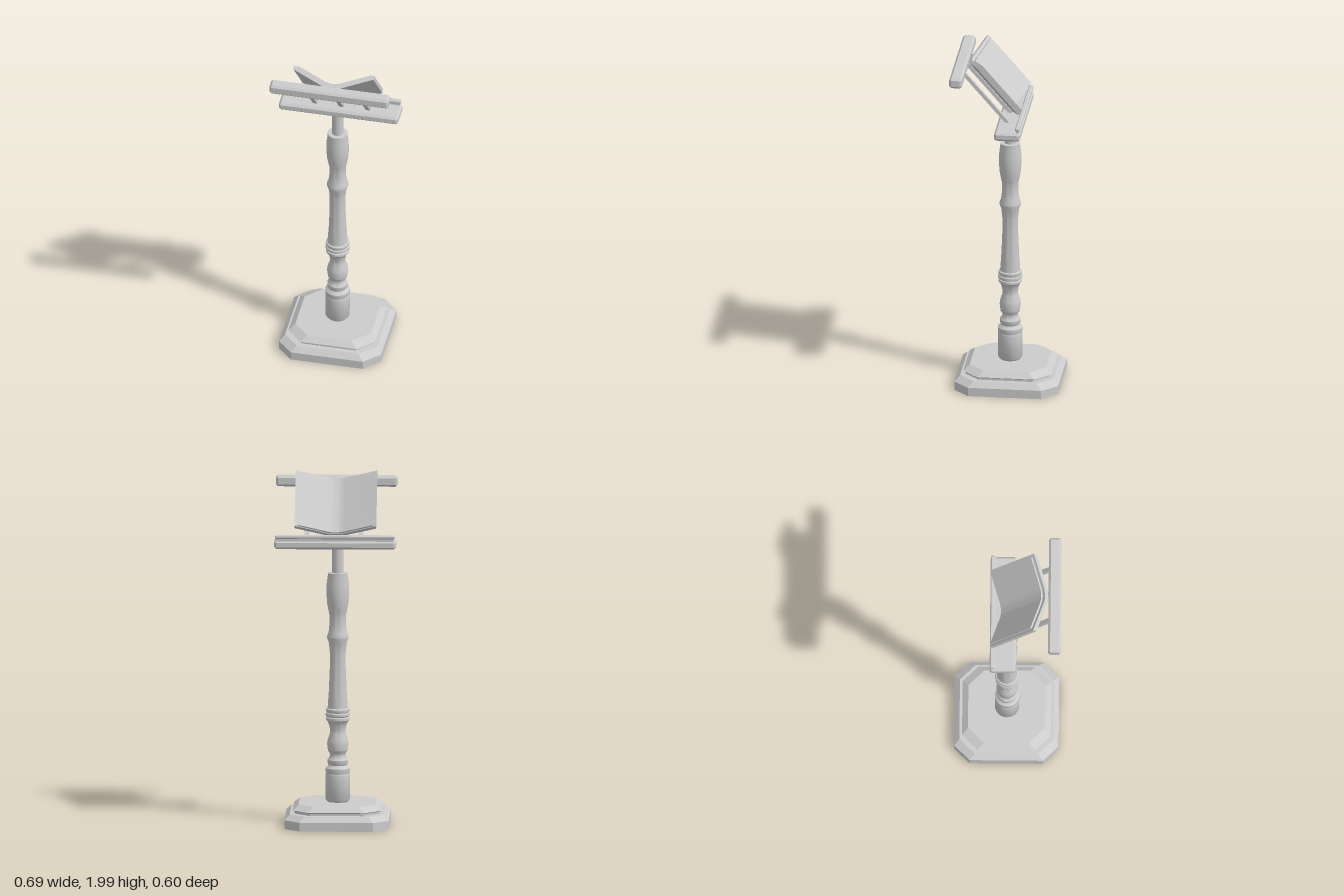
import * as THREE from 'three';
import { toCreasedNormals } from 'three/addons/utils/BufferGeometryUtils.js';
import { ConvexGeometry } from 'three/addons/geometries/ConvexGeometry.js';

const material = new THREE.MeshStandardMaterial({ color: 0xcccccc });
const shellMaterial = new THREE.MeshStandardMaterial({ color: 0xcccccc, side: THREE.DoubleSide });

function addMesh(parent, name, geometry, x = 0, y = 0, z = 0, mat = material) {
  const mesh = new THREE.Mesh(geometry, mat);
  mesh.name = name;
  mesh.position.set(x, y, z);
  parent.add(mesh);
  return mesh;
}

// Box with every edge cut at 45 degrees
function chamferedBox(w, h, d, c) {
  const points = [];
  for (const sx of [-1, 1]) for (const sy of [-1, 1]) for (const sz of [-1, 1]) {
    for (const cut of [[0, c, c], [c, 0, c], [c, c, 0]]) {
      points.push(new THREE.Vector3(
        sx * (w / 2 - cut[0]), sy * (h / 2 - cut[1]), sz * (d / 2 - cut[2])));
    }
  }
  return new ConvexGeometry(points);
}

// Square with cut corners, counter-clockwise from above
function cutSquare(half, cut, y) {
  const s = half - cut;
  return [[half, s], [half, -s], [s, -half], [-s, -half],
    [-half, -s], [-half, s], [-s, half], [s, half]]
    .map(([x, z]) => new THREE.Vector3(x, y, z));
}

// Stepped shell through [half, cut, y] rings, with optional end caps
function steppedShell(rings, capBottom) {
  const loops = rings.map((r) => cutSquare(...r));
  const tris = [];
  for (let i = 0; i < loops.length - 1; i++) {
    for (let j = 0; j < 8; j++) {
      const k = (j + 1) % 8;
      const [a, b, c, d] = [loops[i][j], loops[i][k], loops[i + 1][k], loops[i + 1][j]];
      tris.push(a, b, c, a, c, d);
    }
  }
  if (capBottom) {
    const top = loops[loops.length - 1];
    for (let j = 1; j < 7; j++) {
      tris.push(top[0], top[j], top[j + 1], loops[0][0], loops[0][j + 1], loops[0][j]);
    }
  }
  const geometry = new THREE.BufferGeometry().setFromPoints(tris);
  geometry.computeVertexNormals();
  return geometry;
}

// Open-book section: a shallow V with a rounded middle, extruded along the spine
function openBookLayer(half, bottom, thickness, length) {
  const slope = 0.42, bend = 0.05;
  const n = (x) => bottom - 0.009 + slope * x;
  const shape = new THREE.Shape();
  shape.moveTo(-half, n(half));
  shape.lineTo(-bend, n(bend));
  shape.quadraticCurveTo(0, n(0), bend, n(bend));
  shape.lineTo(half, n(half));
  shape.lineTo(half, n(half) + thickness);
  shape.lineTo(bend, n(bend) + thickness);
  shape.quadraticCurveTo(0, n(0) + thickness, -bend, n(bend) + thickness);
  shape.lineTo(-half, n(half) + thickness);
  shape.closePath();
  const geometry = new THREE.ExtrudeGeometry(shape, { depth: length, bevelEnabled: false, curveSegments: 10 });
  return toCreasedNormals(geometry, 0.6);
}

export function createModel() {
  const model = new THREE.Group();
  model.name = 'bookStand';

  // Foot: hollow plinth with a second tier on it
  const foot = new THREE.Group();
  foot.name = 'foot';
  foot.position.set(-0.013, 0, -0.007);
  model.add(foot);
  addMesh(foot, 'plinth', steppedShell([
    [0.294, 0.087, 0], [0.294, 0.087, 0.05], [0.265, 0.087, 0.08], [0.225, 0.08, 0.08],
  ], false), 0, 0, 0, shellMaterial);
  addMesh(foot, 'upperTier', steppedShell([
    [0.238, 0.086, 0.079], [0.238, 0.086, 0.092], [0.25, 0.088, 0.099], [0.217, 0.09, 0.127],
  ], true), 0, 0, 0, shellMaterial);

  // Turned column, [radius, height] from bottom to top
  const profile = [
    [0, 0.125], [0.058, 0.127], [0.068, 0.14], [0.069, 0.28], [0.066, 0.288], [0.069, 0.296],
    [0.069, 0.318], [0.058, 0.326], [0.052, 0.335], [0.057, 0.345], [0.058, 0.365], [0.05, 0.375],
    [0.044, 0.39], [0.046, 0.405], [0.055, 0.415], [0.056, 0.425], [0.06, 0.455], [0.056, 0.48],
    [0.044, 0.515], [0.043, 0.535], [0.05, 0.565], [0.058, 0.585], [0.066, 0.592], [0.066, 0.605],
    [0.06, 0.61], [0.068, 0.617], [0.068, 0.63], [0.062, 0.635], [0.066, 0.642], [0.065, 0.655],
    [0.057, 0.66], [0.05, 0.76], [0.045, 0.88], [0.045, 0.98], [0.05, 1.03], [0.06, 1.058],
    [0.06, 1.07], [0.052, 1.09], [0.046, 1.14], [0.047, 1.19], [0.05, 1.205], [0.059, 1.25],
    [0.064, 1.31], [0.062, 1.37], [0.056, 1.415], [0.056, 1.43], [0, 1.432],
  ].map(([r, y]) => new THREE.Vector2(r, y));
  addMesh(model, 'column', toCreasedNormals(new THREE.LatheGeometry(profile, 32), 0.7), -0.013, 0, -0.005);
  addMesh(model, 'pole', new THREE.CylinderGeometry(0.032, 0.032, 0.18, 24), -0.013, 1.5, -0.005);

  // Shelf with its retaining lip, and the upper rail
  addMesh(model, 'shelf', chamferedBox(0.686, 0.049, 0.147, 0.012), 0, 1.6, -0.027);
  addMesh(model, 'lipFoot', new THREE.BoxGeometry(0.66, 0.016, 0.014), 0, 1.628, -0.085);
  addMesh(model, 'lip', chamferedBox(0.674, 0.022, 0.027, 0.006), 0, 1.645, -0.086);
  addMesh(model, 'upperRail', chamferedBox(0.686, 0.06, 0.072, 0.012), 0, 1.912, 0.264);

  // Sloping rest: local y faces the reader, local z climbs the slope
  const rest = new THREE.Group();
  rest.name = 'rest';
  rest.position.set(-0.002, 1.637, -0.014);
  rest.rotation.x = -0.857;
  model.add(rest);
  for (const x of [-0.14, 0.012, 0.165]) {
    addMesh(rest, 'slat', new THREE.BoxGeometry(0.024, 0.02, 0.39), x, -0.011, 0.185);
  }

  // Open book
  addMesh(rest, 'bookCover', openBookLayer(0.23, 0, 0.024, 0.37));
  addMesh(rest, 'bookPages', openBookLayer(0.212, 0.022, 0.014, 0.346), 0, 0, 0.004);

  return model;
}
